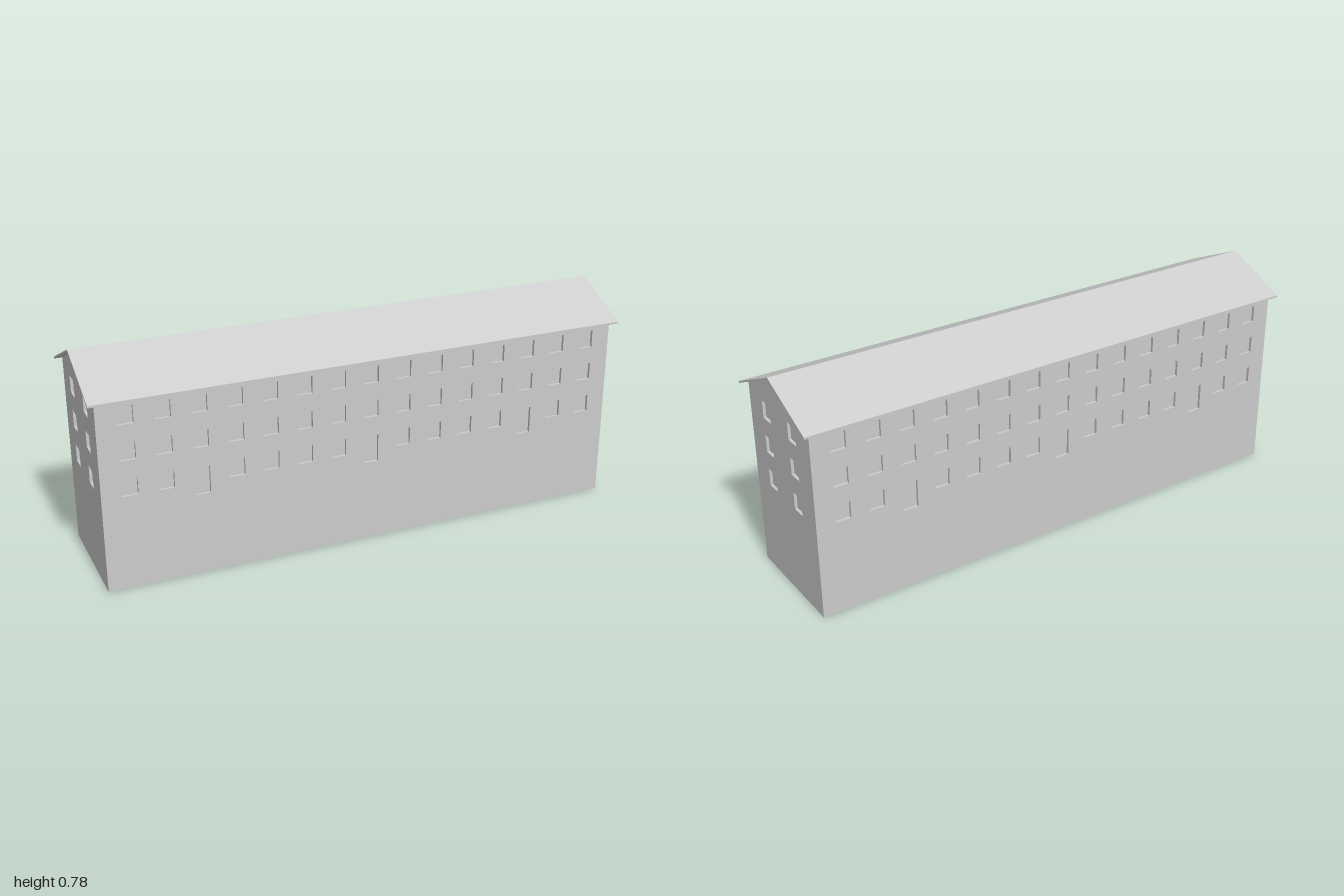
import * as THREE from 'three';
import { mergeGeometries } from 'three/addons/utils/BufferGeometryUtils.js';

const HALF_L = 0.951, HALF_W = 0.214;          // wall footprint
const ROOF_L = 0.975, ROOF_W = 0.236;          // roof footprint with overhang
const RIDGE = 0.784, EAVE = 0.678, THICK = 0.007;
const SLOPE = (RIDGE - EAVE) / ROOF_W;
const WIN_W = 0.054, NICHE = 0.01;
const ROWS = [[0.588, 0.65], [0.463, 0.524], [0.336, 0.398]];  // sill, head
const TALL = [0.293, 0.392];

const wallMat = new THREE.MeshStandardMaterial({ color: 0xcccccc, side: THREE.DoubleSide, flatShading: true });

const polygon = (pts) => new THREE.Shape(pts.map(([x, y]) => new THREE.Vector2(x, y)));

// Window openings as [centre, sill, head]
function longWindows() {
  const list = [];
  for (let i = 0; i < 15; i++) {
    const x = (i - 7) * 0.1221;
    ROWS.forEach((row, r) => list.push([x, ...(r === 2 && i % 5 === 2 ? TALL : row)]));
  }
  return list;
}
const gableWindows = () => [-0.091, 0.091].flatMap((x) => ROWS.map((row) => [x, ...row]));

// Shallow box without its outer face, set behind the wall plane
function niche([x, y0, y1]) {
  const g = new THREE.BoxGeometry(WIN_W, y1 - y0, NICHE);
  const idx = Array.from(g.index.array);
  idx.splice(24, 6);
  // turned inside out so that the faces look into the opening
  for (let i = 0; i < idx.length; i += 3) [idx[i], idx[i + 1]] = [idx[i + 1], idx[i]];
  g.setIndex(idx);
  const n = g.attributes.normal;
  for (let i = 0; i < n.array.length; i++) n.array[i] *= -1;
  return g.translate(x, (y0 + y1) / 2, -NICHE / 2);
}

// Wall facing +z at the given distance, then turned about the vertical axis
function addWall(parent, name, outline, windows, distance, angle) {
  const shape = polygon(outline);
  for (const [x, y0, y1] of windows) {
    const a = x - WIN_W / 2, b = x + WIN_W / 2;
    shape.holes.push(new THREE.Path([[a, y0], [a, y1], [b, y1], [b, y0]].map(([p, q]) => new THREE.Vector2(p, q))));
  }
  const group = new THREE.Group();
  group.name = name;
  const face = new THREE.Mesh(new THREE.ShapeGeometry(shape).translate(0, 0, distance), wallMat);
  face.name = name + 'Face';
  const recesses = new THREE.Mesh(mergeGeometries(windows.map(niche)).translate(0, 0, distance), wallMat);
  recesses.name = name + 'Windows';
  group.add(face, recesses);
  group.rotation.y = angle;
  parent.add(group);
}

export function createModel() {
  const model = new THREE.Group();
  model.name = 'building';
  const house = new THREE.Group();
  house.name = 'house';
  house.rotation.y = THREE.MathUtils.degToRad(-18.4);
  model.add(house);

  // Walls, open at the bottom
  const apex = RIDGE - THICK, top = apex - HALF_W * SLOPE;
  const longOutline = [[-HALF_L, 0], [HALF_L, 0], [HALF_L, top], [-HALF_L, top]];
  const gableOutline = [[-HALF_W, 0], [HALF_W, 0], [HALF_W, top], [0, apex], [-HALF_W, top]];
  addWall(house, 'frontWall', longOutline, longWindows(), HALF_W, 0);
  addWall(house, 'backWall', longOutline, longWindows(), HALF_W, Math.PI);
  addWall(house, 'leftGable', gableOutline, gableWindows(), HALF_L, Math.PI / 2);
  addWall(house, 'rightGable', gableOutline, gableWindows(), HALF_L, -Math.PI / 2);

  // Thin gabled roof with overhanging eaves
  const roofShape = polygon([
    [-ROOF_W, EAVE - THICK], [0, RIDGE - THICK], [ROOF_W, EAVE - THICK],
    [ROOF_W, EAVE], [0, RIDGE], [-ROOF_W, EAVE],
  ]);
  const roofGeo = new THREE.ExtrudeGeometry(roofShape, { depth: 2 * ROOF_L, bevelEnabled: false });
  roofGeo.translate(0, 0, -ROOF_L).rotateY(Math.PI / 2);
  const roof = new THREE.Mesh(roofGeo, wallMat);
  roof.name = 'roof';
  house.add(roof);

  return model;
}
